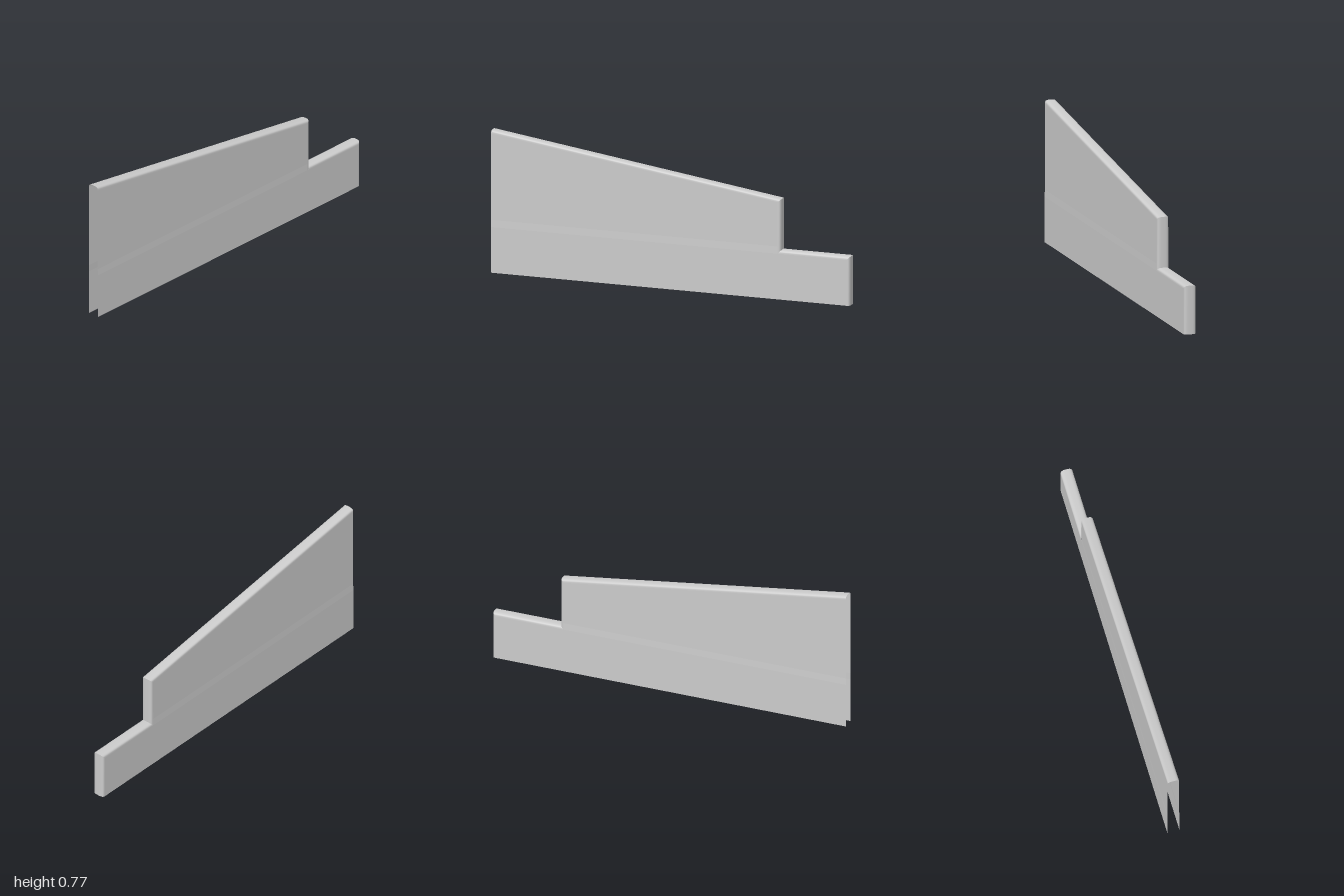
import * as THREE from 'three';

const INSET = 0.018; // depth of the rounded rim
const END = 0.615; // where the tall part stops
const STEP = 0.265; // height of the low part
const SLOPE = 0.1424;

// Half thickness: the upper part is very slightly thinner
const half = (y) => 0.0327 - 0.0014 * THREE.MathUtils.smoothstep(y, 0.247, 0.285);

// Open outline along the top and right end, moved inwards by d
function outline(d) {
  const top = (x) => 0.77 - SLOPE * (x + 1) - d * Math.hypot(1, SLOPE);
  return [
    [-1, top(-1)],
    [END - d, top(END - d)],
    [END - d, STEP - d],
    [1 - d, STEP - d],
    [1 - d, 0],
  ];
}

// Rounded rim strip along one outline segment
function rimGeometry(segment) {
  const steps = 20;
  const positions = [];
  const index = [];
  for (let j = 0; j <= steps; j++) {
    const a = (j / steps) * Math.PI;
    const c = Math.cos(a);
    const d = INSET * (1 - Math.pow(Math.max(0, Math.sin(a)), 0.65));
    const z = Math.sign(c) * Math.pow(Math.abs(c), 0.65);
    const path = outline(d);
    for (const [x, y] of [path[segment], path[segment + 1]]) {
      positions.push(x, y, z * half(y));
    }
    if (j < steps) {
      const k = j * 2;
      index.push(k, k + 1, k + 2, k + 1, k + 3, k + 2);
    }
  }
  const geometry = new THREE.BufferGeometry();
  geometry.setAttribute('position', new THREE.Float32BufferAttribute(positions, 3));
  geometry.setIndex(index);
  geometry.computeVertexNormals();
  return geometry;
}

// Flat side panel, pushed out to the local half thickness
function panelGeometry(points, side) {
  const shape = new THREE.Shape(points.map(([x, y]) => new THREE.Vector2(x, y)));
  const geometry = new THREE.ShapeGeometry(shape);
  const p = geometry.attributes.position;
  for (let i = 0; i < p.count; i++) p.setZ(i, side * half(p.getY(i)));
  if (side < 0) geometry.index.array.reverse();
  geometry.computeVertexNormals();
  return geometry;
}

export function createModel() {
  const model = new THREE.Group();
  model.name = 'steppedPanel';
  const material = new THREE.MeshStandardMaterial({ color: 0xcccccc, side: THREE.DoubleSide });
  const add = (name, geometry) => {
    const mesh = new THREE.Mesh(geometry, material);
    mesh.name = name;
    model.add(mesh);
  };

  // Side sheets: the shell stays open underneath and at the tall end
  const [a, b, c, d, e] = outline(INSET);
  const bandTop = 0.285;
  for (const [label, side] of [['front', 1], ['back', -1]]) {
    add(label + 'LowerSheet', panelGeometry([[-1, 0], e, d, c, [-1, c[1]]], side));
    add(label + 'TaperBand', panelGeometry([[-1, c[1]], c, [c[0], bandTop], [-1, bandTop]], side));
    add(label + 'UpperSheet', panelGeometry([[-1, bandTop], [c[0], bandTop], b, a], side));
  }

  // Rounded edges
  ['slopedTopRim', 'upperEndRim', 'lowTopRim', 'lowEndRim'].forEach((name, i) => add(name, rimGeometry(i)));

  return model;
}
